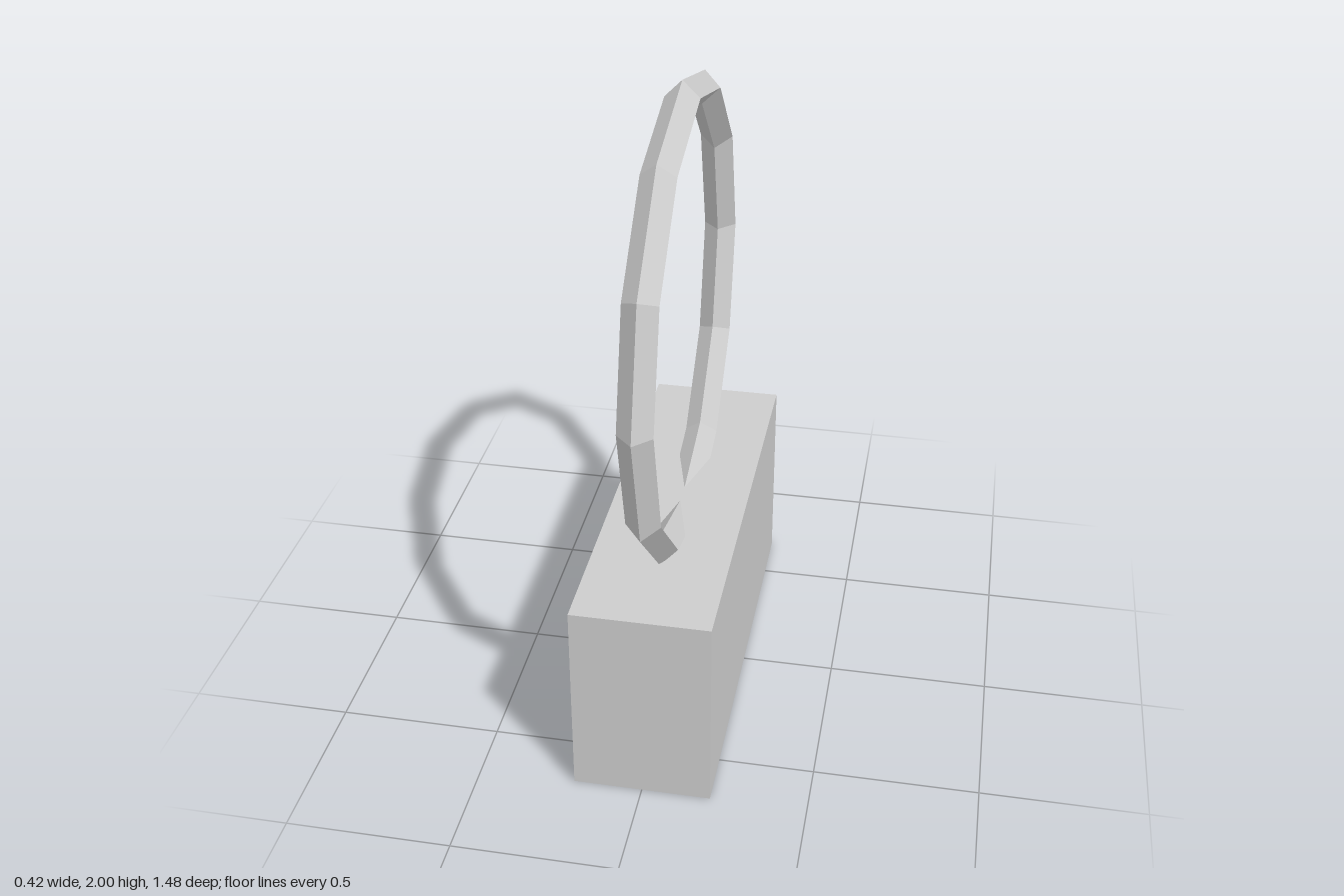
import * as THREE from 'three';

export function createModel() {
  const group = new THREE.Group();
  const grey = new THREE.MeshStandardMaterial({ color: 0xcccccc, flatShading: true });
  grey.name = 'light grey';

  // Block that carries the ring
  const base = new THREE.Mesh(new THREE.BoxGeometry(0.417, 0.63, 1.343), grey);
  base.name = 'base';
  base.position.y = 0.315;

  // Twelve-sided upright ring with a diamond section, sunk into the base
  const ring = new THREE.Mesh(new THREE.TorusGeometry(0.69, 0.051, 4, 12), grey);
  ring.name = 'ring';
  ring.rotation.y = Math.PI / 2;
  ring.position.y = 1.259;

  group.add(base, ring);
  return group;
}
